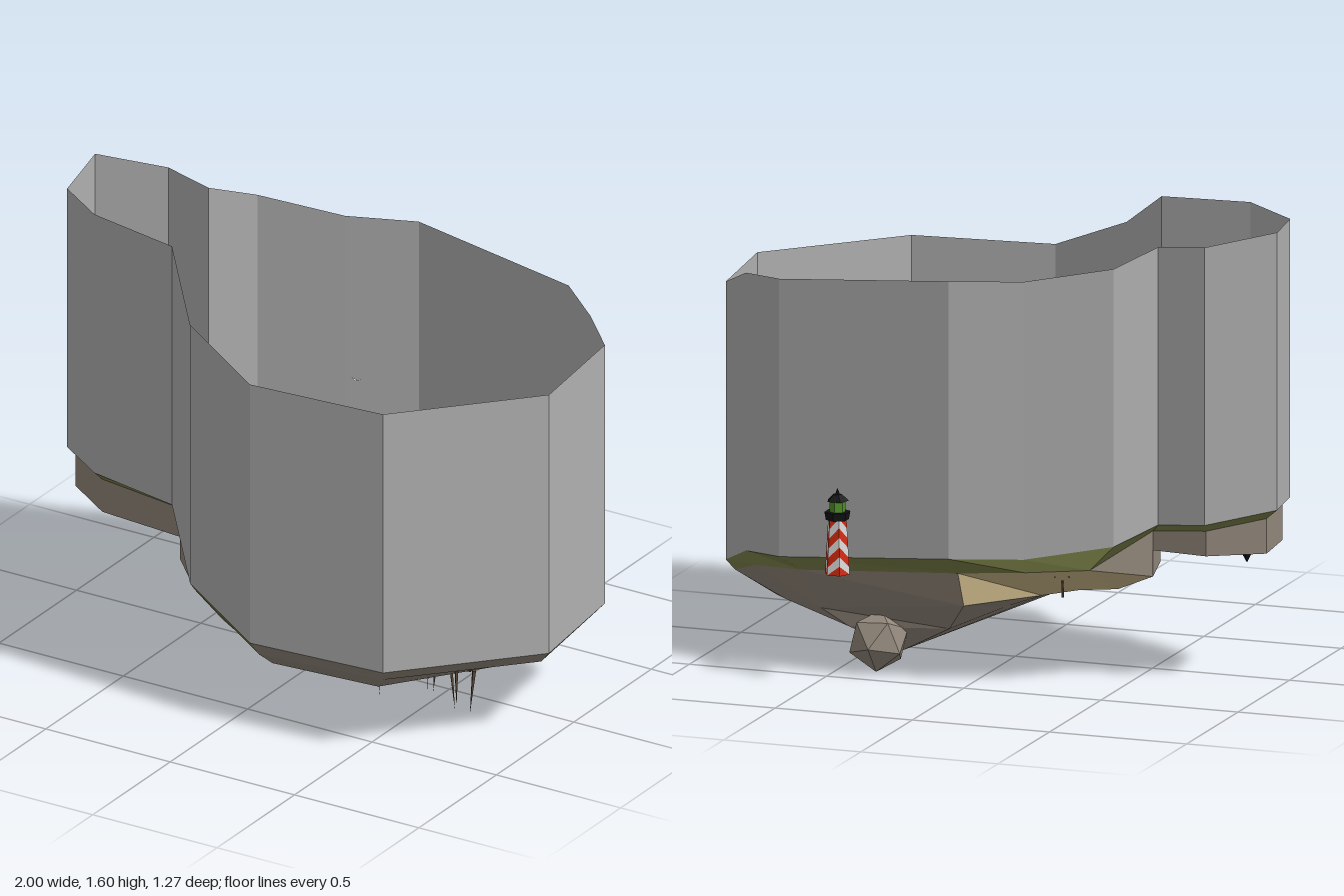
import * as THREE from 'three';

const mat = (name, color, side = THREE.DoubleSide) => {
  const m = new THREE.MeshStandardMaterial({ color, side, flatShading: true });
  m.name = name;
  return m;
};

export function createModel() {
  const M = {
    wall: mat('wall grey', 0xb0b0b0), rock: mat('rock brown', 0x91867a), sand: mat('sand', 0xcfba8c),
    grass: mat('grass green', 0x7d8249), black: mat('black', 0x111214), red: mat('red', 0xd62a10),
    white: mat('white', 0xdcdcdc), leaf: mat('leaf green', 0x4f8f28), wood: mat('dark wood', 0x5a4a3a),
  };
  const group = new THREE.Group();
  group.name = 'walledBay';
  const add = (name, geo, m, x = 0, y = 0, z = 0, parent = group) => {
    const mesh = new THREE.Mesh(geo, m);
    mesh.name = name;
    mesh.position.set(x, y, z);
    parent.add(mesh);
    return mesh;
  };
  // Collects triangles and quads of [x, y, z] corners into one faceted mesh
  const surface = () => {
    const pos = [];
    const tri = (a, b, c) => pos.push(...a, ...b, ...c);
    return {
      tri,
      quad: (a, b, c, d) => { tri(a, b, c); tri(a, c, d); },
      build: (name, m, parent) => {
        const g = new THREE.BufferGeometry();
        g.setAttribute('position', new THREE.Float32BufferAttribute(pos, 3));
        g.computeVertexNormals();
        return add(name, g, m, 0, 0, 0, parent);
      },
    };
  };
  const atY = (p, y) => [p[0], y, p[2]];

  // Rim of the bay, counted from the far right corner of the small cove
  const rim = [
    [-1, .635, -.12], [-.95, .62, .14], [-.75, .63, .285], [-.41, .612, .33],
    [-.2, .455, .55], [.09, .335, .63], [.6, .333, .59], [1, .335, .16],
    [.95, .335, -.28], [.85, .39, -.35], [.68, .412, -.48], [.04, .47, -.54],
    [-.2, .468, -.45], [-.49, .515, -.35], [-.6, .57, -.21], [-.78, .59, -.24],
  ];
  const inner = [
    [-.95, .595, -.09], [-.93, .595, .12], [-.74, .595, .25], [-.41, .58, .28],
    [-.2, .42, .52], [.1, .28, .59], [.57, .28, .54], [.95, .28, .13],
    [.92, .3, -.27], [.82, .34, -.34], [.62, .36, -.43], [.04, .4, -.45],
    [-.2, .42, -.44], [-.41, .43, -.37], [-.57, .54, -.18], [-.77, .56, -.2],
  ];
  const wall = surface(), grass = surface(), rock = surface(), sand = surface();
  rim.forEach((p, i) => {
    const j = (i + 1) % rim.length, q = rim[j];
    wall.quad(p, q, atY(q, q[1] + .975), atY(p, p[1] + .975));
    (i > 4 && i < 8 ? rock : grass).quad(p, inner[i], inner[j], q);
  });
  wall.build('surroundingWall', M.wall);

  // Small cove: upright cliffs and a grass floor
  const floorY = .472;
  const coast = [14, 15, 0, 1, 2, 3].map(i => inner[i]);
  const bend = [-.5, floorY, .08];
  const coveFloor = [...coast.map(p => atY(p, floorY)), bend];
  for (let i = 0; i < 5; i++) rock.quad(coast[i], coveFloor[i], coveFloor[i + 1], coast[i + 1]);
  coveFloor.forEach((p, i) => grass.tri([-.72, floorY, .03], p, coveFloor[(i + 1) % 7]));
  const slab = surface(), slabIn = [-.88, .477, -.03];
  [[15, 0], [0, 1], [1, 2]].forEach(([a, b]) =>
    slab.tri(atY(inner[a], .48), slabIn, atY(inner[b], b === 2 ? .48 : .53)));
  slab.build('coveSlab', M.wall);

  // Large basin: rings falling to the deepest point
  const low = [atY(inner[14], .38), [-.5, .37, .08], atY(inner[3], .39)];
  const ringA = [...inner.slice(4, 14), ...low];
  const ringB = [
    [-.15, .28, .42], [.1, .21, .5], [.5, .205, .46], [.8, .22, .1], [.8, .21, -.2],
    [.74, .21, -.26], [.58, .21, -.34], [.03, .28, -.42], [-.18, .29, -.22],
    [-.33, .33, -.26], [-.42, .31, -.12], [-.3, .285, .03], [-.36, .285, .24],
  ];
  const ringC = [
    [0, .21, .2], [.15, .2, .2], [.45, .2, .2], [.5, .18, .02], [.58, .16, -.12],
    [.58, .16, -.22], [.48, .15, -.33], [.12, .17, -.32], [-.05, .24, -.22],
    [-.17, .28, -.17], [-.2, .28, -.08], [-.2, .28, 0], [-.12, .25, .12],
  ];
  const deepest = [.32, .06, -.24];
  ringA.forEach((a, i) => {
    const j = (i + 1) % ringA.length;
    (i > 6 && i < 12 ? sand : rock).quad(a, ringB[i], ringB[j], ringA[j]);
    (i > 7 && i < 11 ? sand : rock).quad(ringB[i], ringC[i], ringC[j], ringB[j]);
    rock.tri(ringC[i], deepest, ringC[j]);
  });
  // Cliffs joining the cove to the basin
  rock.quad(coveFloor[0], bend, low[1], low[0]);
  rock.quad(bend, coveFloor[5], low[2], low[1]);
  rock.tri(inner[3], low[2], inner[4]);
  rock.tri(inner[13], low[0], inner[14]);

  // Sand island
  const shore = [[.04, .25], [.1, .18], [.24, .12], [.56, .12], [.585, .28], [.36, .44], [.07, .39]];
  const peak = [.33, .32, .25];
  const foot = shore.map(([x, z]) => [x, .205, z]);
  const edge = shore.map(([x, z], i) => [x + (i === 0 ? .05 : .005), .29, z]);
  foot.forEach((p, i) => {
    const j = (i + 1) % foot.length;
    rock.quad(p, foot[j], edge[j], edge[i]);
    sand.tri(edge[i], edge[j], peak);
  });
  grass.build('grassSlopes', M.grass);
  rock.build('rockBasin', M.rock);
  sand.build('sandBeachAndIsland', M.sand);

  // Sea cave boulder beneath the deep end, with a dark mouth
  const boulder = add('caveBoulder', new THREE.IcosahedronGeometry(.108, 0), M.rock, .37, .112, -.34);
  boulder.rotation.set(.4, .3, .5);
  const mouth = add('caveMouth', new THREE.CylinderGeometry(.025, .025, .12, 6), M.black, .35, .18, -.25);
  mouth.rotation.z = Math.PI / 2;

  // Palms
  const palm = (x, y, z, turn) => {
    const g = new THREE.Group();
    g.name = 'palm';
    g.position.set(x, y, z);
    g.rotation.y = turn;
    const leaves = surface();
    for (let i = 0; i < 5; i++) {
      const a = i * Math.PI * .4, at = (r, d, h) => [r * Math.cos(a + d), h, r * Math.sin(a + d)];
      leaves.quad([0, .09, 0], at(.024, .4, .095), at(.045, 0, .075), at(.024, -.4, .095));
    }
    leaves.build('palmLeaves', M.leaf, g);
    add('palmTrunk', new THREE.CylinderGeometry(.003, .005, .09, 5), M.wood, 0, .045, 0, g);
    group.add(g);
  };
  [[-.3, .32, -.34], [-.35, .29, .06], [.38, .3, .18], [.16, .29, .32], [.45, .29, .38]]
    .forEach(([x, y, z], i) => palm(x, y, z, i * 1.3));

  // Thin spikes through the basin floor: x, z, tip height
  [[.38, .27, .065], [.5, .14, .065], [.59, .24, .12], [.65, .22, .06], [.69, .26, .1], [.74, .24, .07], [.15, .3, .16]]
    .forEach(([x, z, tip], i) => {
      const h = .24 - tip;
      add('spike', new THREE.ConeGeometry(.008, h, 4), M.wood, x, tip + h / 2, z)
        .rotation.set(Math.PI, 0, (i % 3 - 1) * .1);
    });
  add('paleCone', new THREE.ConeGeometry(.09, .045, 5), M.white, .35, .183, .26);
  add('crate', new THREE.BoxGeometry(.05, .03, .03), M.wood, .66, .235, .24).rotation.y = .5;
  add('crate', new THREE.BoxGeometry(.025, .03, .025), M.wood, .71, .235, .21);

  // Dark stone in the cove floor
  add('darkStone', new THREE.ConeGeometry(.033, .06, 5), M.black, -.86, .452, -.04).rotation.x = Math.PI;
  add('darkStoneTop', new THREE.IcosahedronGeometry(.03, 0), M.black, -.86, .49, -.04);

  // Gulls
  [[-.08, .9, -.33], [-.08, .9, -.08], [.1, 1.2, .51]].forEach(([x, y, z]) => {
    const gull = surface();
    for (const s of [-1, 1]) gull.tri([x, y, z - .005], [x, y, z + .007], [x + s * .02, y + .008, z]);
    gull.build('gull', M.white);
  });

  // Striped lighthouse outside the back wall
  const tower = new THREE.Group();
  tower.name = 'lighthouse';
  tower.position.set(.425, .4, -.595);
  const stripes = [surface(), surface()], sides = 6, bands = 7, height = .2;
  const corner = (k, i) => {
    const y = THREE.MathUtils.clamp((k - (i % 2) * 1.2) * height / (bands - 1), 0, height);
    const r = .045 - .012 * y / height, a = i * Math.PI * 2 / sides;
    return [r * Math.cos(a), y, r * Math.sin(a)];
  };
  for (let k = 0; k <= bands; k++)
    for (let i = 0; i < sides; i++)
      stripes[k % 2].quad(corner(k, i), corner(k + 1, i), corner(k + 1, i + 1), corner(k, i + 1));
  stripes[0].build('redStripes', M.red, tower);
  stripes[1].build('whiteStripes', M.white, tower);
  add('gallery', new THREE.CylinderGeometry(.045, .04, .028, 6), M.black, 0, .204, 0, tower);
  add('lantern', new THREE.CylinderGeometry(.028, .028, .05, 6), M.leaf, 0, .24, 0, tower);
  add('roof', new THREE.CylinderGeometry(.016, .04, .022, 5), M.black, 0, .267, 0, tower);
  add('roofKnob', new THREE.ConeGeometry(.01, .025, 5), M.black, 0, .288, 0, tower);
  group.add(tower);
  return group;
}
